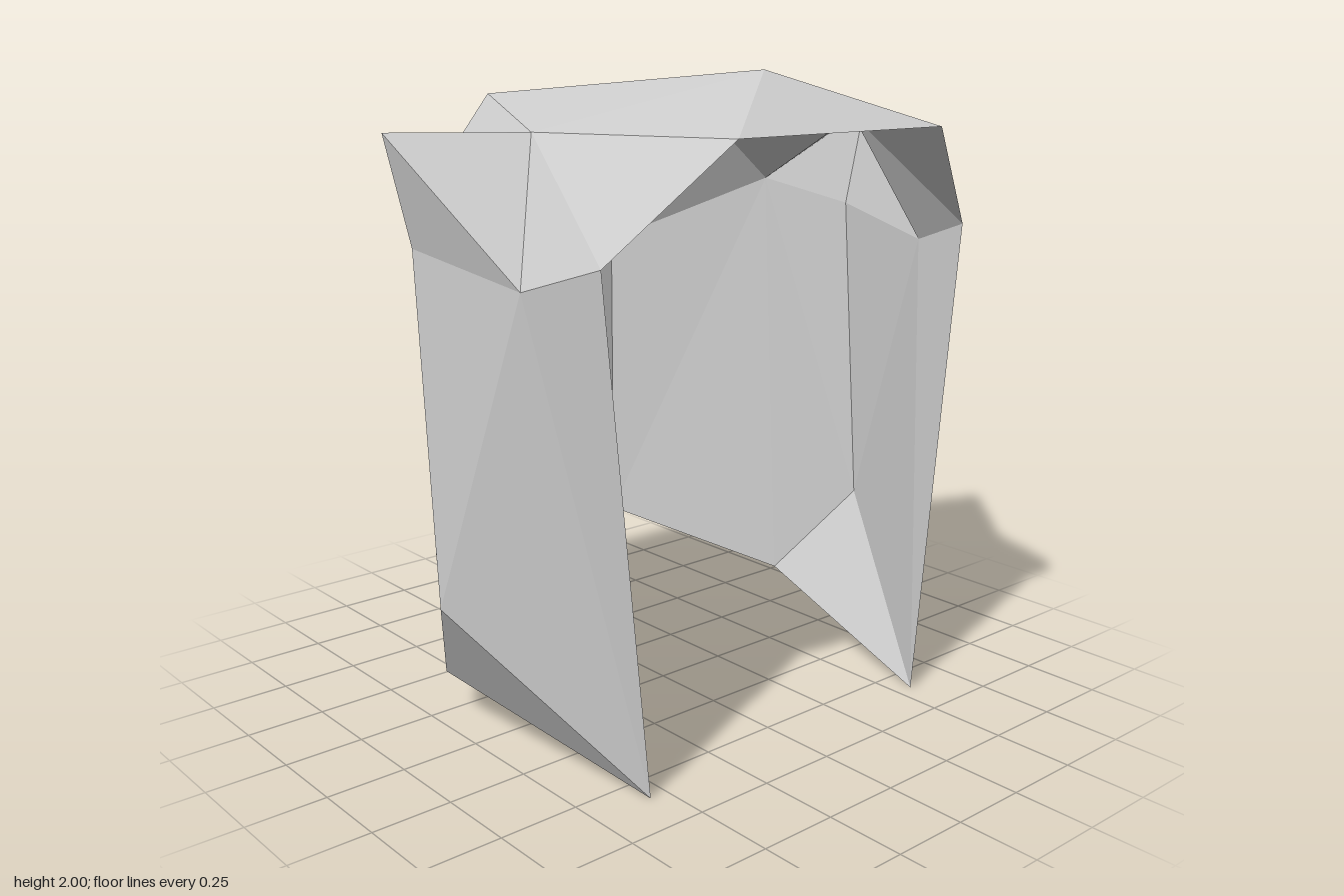
import * as THREE from 'three';

// Corner points of the left (+x) half; mirrored for the right half
const P = {
  apex: [0, 2, 0.44],
  brow: [0.4, 1.84, 0.76],
  temple: [0.64, 1.84, 0.2],
  crownBack: [0.4, 1.92, -0.36],
  napeTop: [0.4, 1.36, -0.76],
  napeLow: [0.4, 0.32, -0.76],
  sideBack: [0.72, 1.6, -0.28],
  sideMid: [0.88, 1.52, -0.04],
  tuftTip: [0.96, 1.84, -0.04],
  tuftFront: [0.8, 1.44, 0.36],
  cheekTop: [0.72, 1.52, 0.6],
  lockTip: [0.56, 0, 0.6],
  lockSide: [0.88, 0.48, 0.04],
  lockBack: [0.72, 0.16, -0.2],
};

// A name starting with '-' is the mirrored point
function point(name) {
  const mirrored = name[0] === '-';
  const v = new THREE.Vector3(...P[mirrored ? name.slice(1) : name]);
  if (mirrored) v.x *= -1;
  return v;
}

// Builds faceted triangles, each wound to face away from an inner point
function facets(faces, inner, mirror = false) {
  const centre = new THREE.Vector3(...inner);
  const coords = [];
  for (const face of faces) {
    const tri = face.split(' ').map(point);
    const normal = tri[1].clone().sub(tri[0]).cross(tri[2].clone().sub(tri[0]));
    let flip = normal.dot(tri[0].clone().sub(centre)) < 0;
    if (mirror) {
      tri.forEach((v) => { v.x *= -1; });
      flip = !flip;
    }
    if (flip) tri.reverse();
    tri.forEach((v) => coords.push(v.x, v.y, v.z));
  }
  const geometry = new THREE.BufferGeometry();
  geometry.setAttribute('position', new THREE.Float32BufferAttribute(coords, 3));
  geometry.computeVertexNormals();
  return geometry;
}

export function createModel() {
  const group = new THREE.Group();
  const grey = new THREE.MeshStandardMaterial({ color: 0xcccccc, flatShading: true, side: THREE.DoubleSide });
  grey.name = 'light grey';

  const add = (name, geometry) => {
    const mesh = new THREE.Mesh(geometry, grey);
    mesh.name = name;
    group.add(mesh);
  };
  const middle = [0, 1, 0];

  // Crown: a fan around the apex
  const rim = ['brow', 'temple', 'crownBack', '-crownBack', '-temple', '-brow'];
  add('crown', facets(rim.map((n, i) => `apex ${n} ${rim[(i + 1) % rim.length]}`), middle));

  // Back: sloping upper panel and upright lower panel
  add('back', facets([
    'crownBack napeTop -napeTop', 'crownBack -napeTop -crownBack',
    'napeTop napeLow -napeLow', 'napeTop -napeLow -napeTop',
  ], middle));

  const sideFaces = [
    // Rear side
    'temple crownBack sideBack', 'crownBack napeTop sideBack',
    'napeTop napeLow sideBack', 'napeLow lockBack sideBack',
    'sideBack lockBack lockSide', 'sideBack lockSide sideMid',
    // Front lock hanging beside the face
    'brow temple cheekTop', 'temple tuftFront cheekTop',
    'cheekTop tuftFront lockTip', 'tuftFront lockSide lockTip',
    'tuftFront sideMid lockSide', 'lockTip lockSide lockBack',
  ];
  // Pointed tuft above the ear
  const tuftFaces = [
    'tuftTip temple tuftFront', 'tuftTip tuftFront sideMid',
    'tuftTip sideMid sideBack', 'tuftTip sideBack temple',
  ];
  for (const [label, mirror] of [['left', false], ['right', true]]) {
    add(`${label}Side`, facets(sideFaces, middle, mirror));
    add(`${label}Tuft`, facets(tuftFaces, [0.8, 1.64, 0.04], mirror));
  }
  return group;
}
